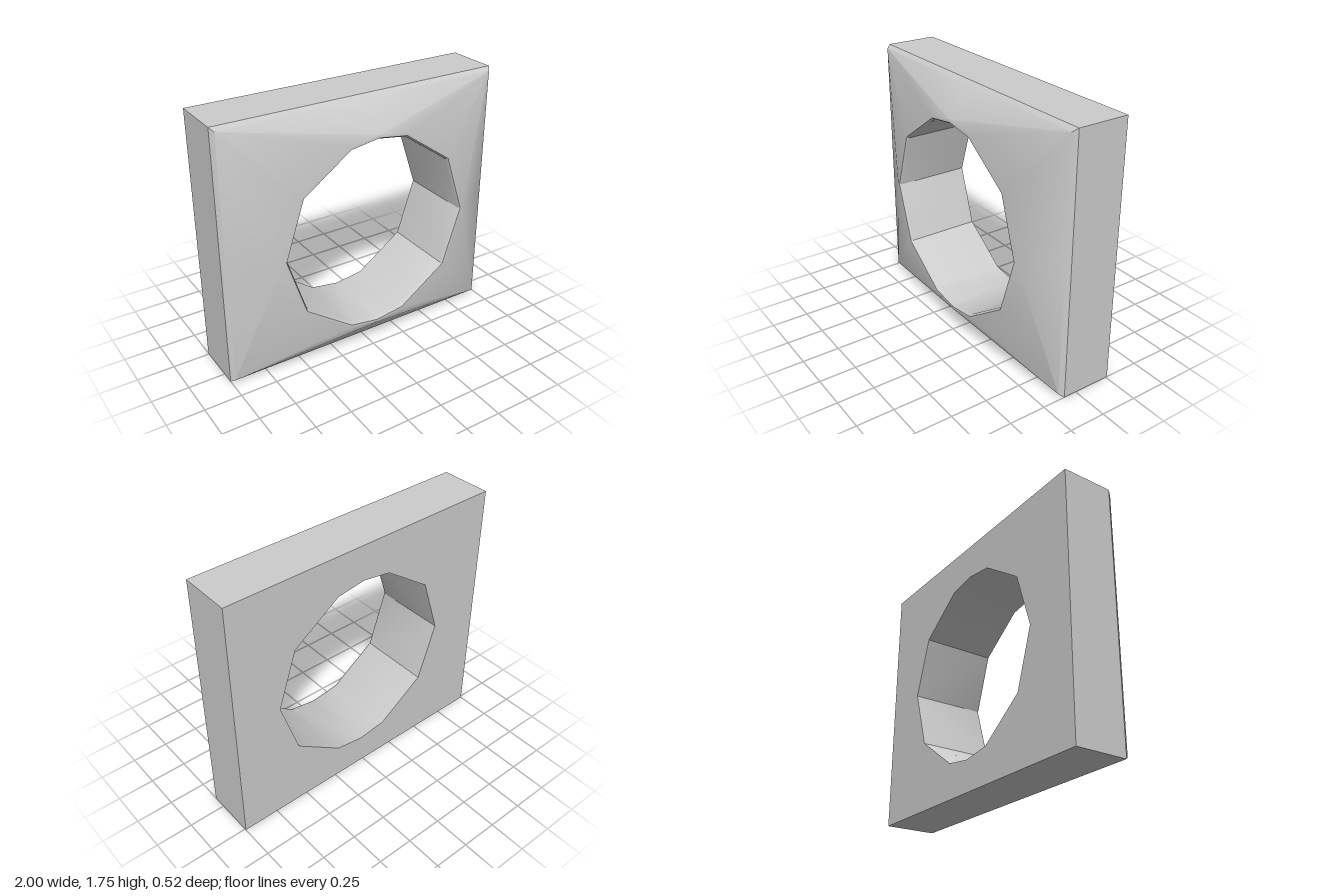
import * as THREE from 'three';
import { toCreasedNormals } from 'three/addons/utils/BufferGeometryUtils.js';

const CX = 0.022, CY = 0.86, H = 1.755;

// Twelve-sided opening: one quadrant mirrored around, counter-clockwise from +x
function holeLoop(grow, z) {
  const q = [[0.655, 0], [0.527, 0.39], [0.2, 0.62], [0, 0.65]];
  const pts = [...q, ...[2, 1, 0].map(i => [-q[i][0], q[i][1]])];
  const lower = [5, 4, 3, 2, 1].map(i => [pts[i][0], -pts[i][1]]);
  return [...pts, ...lower].map(([x, y]) => {
    const r = Math.hypot(x, y), s = (r + grow) / r;
    return new THREE.Vector3(CX + x * s, CY + y * s, z);
  });
}

// Rectangle with side midpoints and doubled corners, so it pairs with the opening
function rectLoop(inset, z) {
  const x = 1 - inset, b = inset, t = H - inset;
  return [
    [x, CY], [x, t], [x, t], [CX, t], [-x, t], [-x, t],
    [-x, CY], [-x, b], [-x, b], [CX, b], [x, b], [x, b],
  ].map(([px, py]) => new THREE.Vector3(px, py, z));
}

// Skin neighbouring loops into a closed ring
function skinRing(loops) {
  const pos = [];
  const tri = (a, b, c) => {
    if (a.equals(b) || b.equals(c) || a.equals(c)) return;
    for (const p of [a, b, c]) pos.push(p.x, p.y, p.z);
  };
  loops.forEach((loop, k) => {
    const next = loops[(k + 1) % loops.length];
    loop.forEach((a, i) => {
      const j = (i + 1) % loop.length;
      const b = loop[j], c = next[j], d = next[i];
      if (i % 3 === 0) { tri(a, b, d); tri(b, c, d); }
      else { tri(a, b, c); tri(a, c, d); }
    });
  });
  const g = new THREE.BufferGeometry();
  g.setAttribute('position', new THREE.Float32BufferAttribute(pos, 3));
  return toCreasedNormals(g, 0.54);
}

export function createModel() {
  const group = new THREE.Group();
  group.name = 'framedOpening';
  const geometry = skinRing([
    rectLoop(0, -0.26),      // back edge
    rectLoop(0, 0.09),       // side walls
    rectLoop(0.022, 0.12),   // edge bevel
    holeLoop(0.03, 0.26),    // sloping face up to the rim
    holeLoop(0.012, 0.26),   // flat rim
    holeLoop(0, 0.24),       // lip bevel
    holeLoop(0, -0.26),      // bore
  ]);
  const block = new THREE.Mesh(geometry, new THREE.MeshStandardMaterial({ color: 0xcccccc }));
  block.name = 'blockWithOpening';
  group.add(block);
  return group;
}
